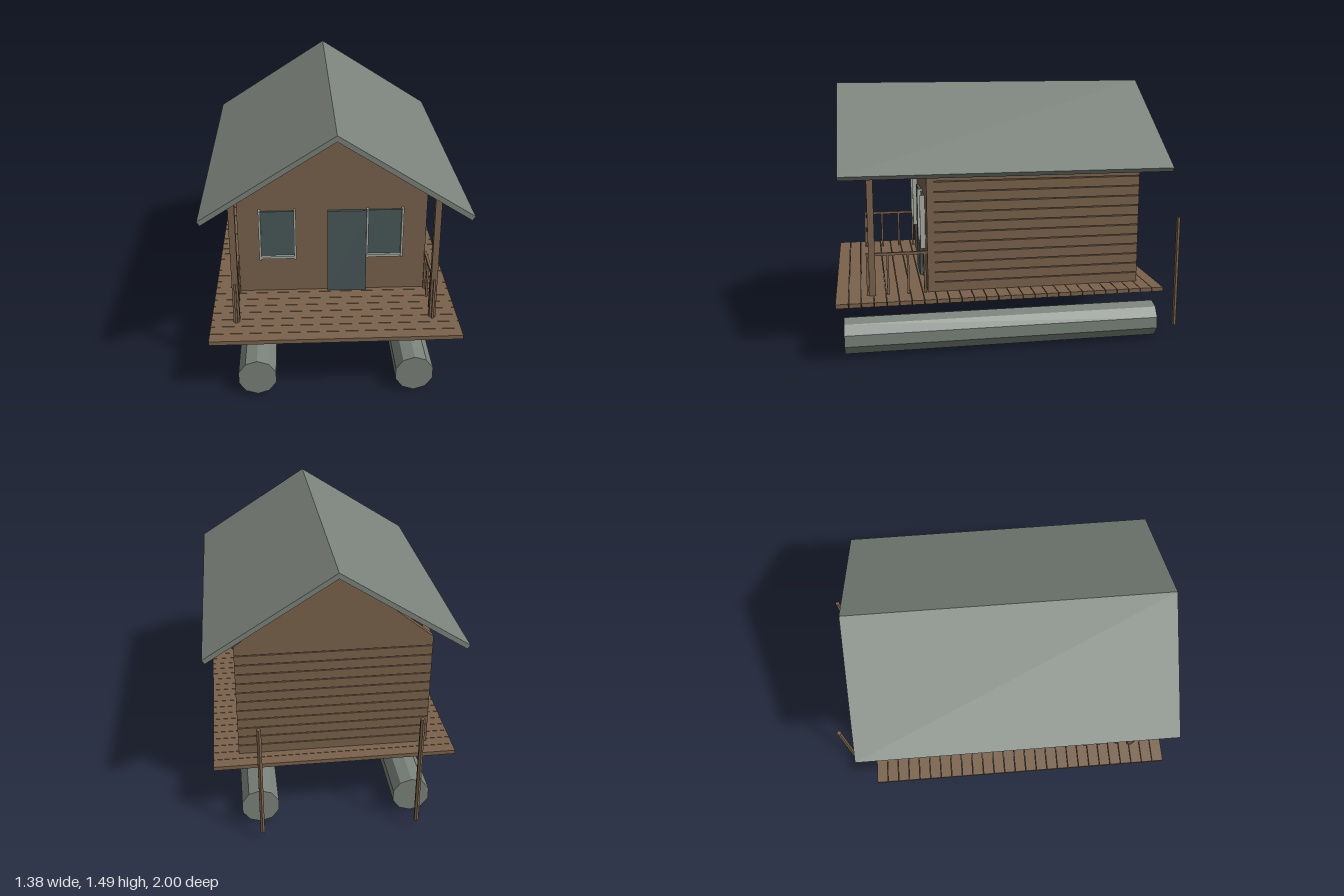
import * as THREE from 'three';

export function createModel() {
  const root = new THREE.Group();
  root.name = 'cabin';

  const material = (name, color) => {
    const m = new THREE.MeshStandardMaterial({ color, flatShading: true });
    m.name = name;
    return m;
  };
  const wood = material('brown wood', 0x7a624c);
  const grey = material('roof grey', 0x7b827b);
  const glass = material('dark teal', 0x4a585a);
  const trim = material('pale trim', 0xaaada5);

  const add = (name, geometry, mat, parent = root) => {
    const mesh = new THREE.Mesh(geometry, mat);
    mesh.name = name;
    parent.add(mesh);
    return mesh;
  };
  // Box given by its limits along each axis
  const box = (name, mat, x0, x1, y0, y1, z0, z1, parent = root) => {
    const mesh = add(name, new THREE.BoxGeometry(x1 - x0, y1 - y0, z1 - z0), mat, parent);
    mesh.position.set((x0 + x1) / 2, (y0 + y1) / 2, (z0 + z1) / 2);
    return mesh;
  };
  // Outline in x and y, extruded between two z values
  const prism = (name, mat, points, z0, z1) => {
    const shape = new THREE.Shape(points.map(([x, y]) => new THREE.Vector2(x, y)));
    const geometry = new THREE.ExtrudeGeometry(shape, { depth: z1 - z0, bevelEnabled: false });
    add(name, geometry, mat).position.z = z0;
  };
  const group = (name) => {
    const g = new THREE.Group();
    g.name = name;
    root.add(g);
    return g;
  };

  // Deck of crosswise planks
  const deck = group('deck');
  const planks = 27, plankPitch = 1.81 / planks;
  for (let i = 0; i < planks; i++) {
    const z = -0.81 + i * plankPitch;
    box('deckPlank', wood, -0.67, 0.67, 0.347, 0.37, z, z + plankPitch - (i < planks - 1 ? 0.003 : 0), deck);
  }

  // Solid front wall, and spaced boards on the sides and back
  const half = 0.53, front = 0.5, back = -0.7, floor = 0.37, eave = 1.04;
  box('frontWall', wood, -half, half, floor, eave, front - 0.04, front);
  const siding = group('siding');
  const boards = 12, boardPitch = (eave - floor + 0.005) / boards;
  for (let i = 0; i < boards; i++) {
    const y0 = floor + i * boardPitch, y1 = y0 + boardPitch - 0.005;
    box('backBoard', wood, -half, half, y0, y1, back, back + 0.03, siding);
    box('leftBoard', wood, half - 0.03, half, y0, y1, back + 0.03, front - 0.04, siding);
    box('rightBoard', wood, -half, -half + 0.03, y0, y1, back + 0.03, front - 0.04, siding);
  }

  // Gables
  const gable = [[-half, eave], [half, eave], [0, 1.462]];
  prism('frontGable', wood, gable, front - 0.04, front);
  prism('backGable', wood, gable, back, back + 0.04);

  // Pitched roof
  prism('roof', grey, [
    [-0.675, 1.03], [0, 1.46], [0.675, 1.03], [0.69, 1.052], [0, 1.491], [-0.69, 1.052],
  ], -0.84, 0.965);

  // Door and windows with trim at the sides and sill
  box('door', glass, -0.027, 0.193, floor, 0.877, front, front + 0.018);
  for (const x of [-0.307, 0.294]) {
    const w = group('window');
    box('windowPane', glass, x - 0.093, x + 0.093, 0.6, 0.877, front, front + 0.009, w);
    box('windowSill', trim, x - 0.093, x + 0.093, 0.588, 0.603, front, front + 0.025, w);
    for (const s of [-1, 1]) {
      box('windowJamb', trim, x + s * 0.098 - 0.006, x + s * 0.098 + 0.006, 0.583, 0.888, front, front + 0.028, w);
    }
  }

  for (const s of [-1, 1]) {
    // Porch post and side railing
    const porch = group(s > 0 ? 'leftPorch' : 'rightPorch');
    const cx = s * 0.532;
    box('porchPost', wood, cx - 0.017, cx + 0.017, floor, 1.1, 0.785, 0.82, porch);
    box('handRail', wood, cx - 0.007, cx + 0.007, 0.59, 0.605, front, 0.833, porch);
    for (const z of [0.515, 0.607, 0.717, 0.827]) {
      box('baluster', wood, cx - 0.006, cx + 0.006, floor, 0.59, z - 0.006, z + 0.006, porch);
    }

    // Ten-sided float under the deck
    const float = add('float', new THREE.CylinderGeometry(0.106, 0.106, 1.805, 10), grey);
    float.rotation.x = Math.PI / 2;
    float.position.set(s * 0.425, 0.106, 0.0625);

    // Mooring pole behind the deck
    const pole = add('mooringPole', new THREE.CylinderGeometry(0.0135, 0.0135, 0.665, 6), wood);
    pole.position.set(s * 0.424, 0.3825, -0.9865);
  }
  return root;
}
